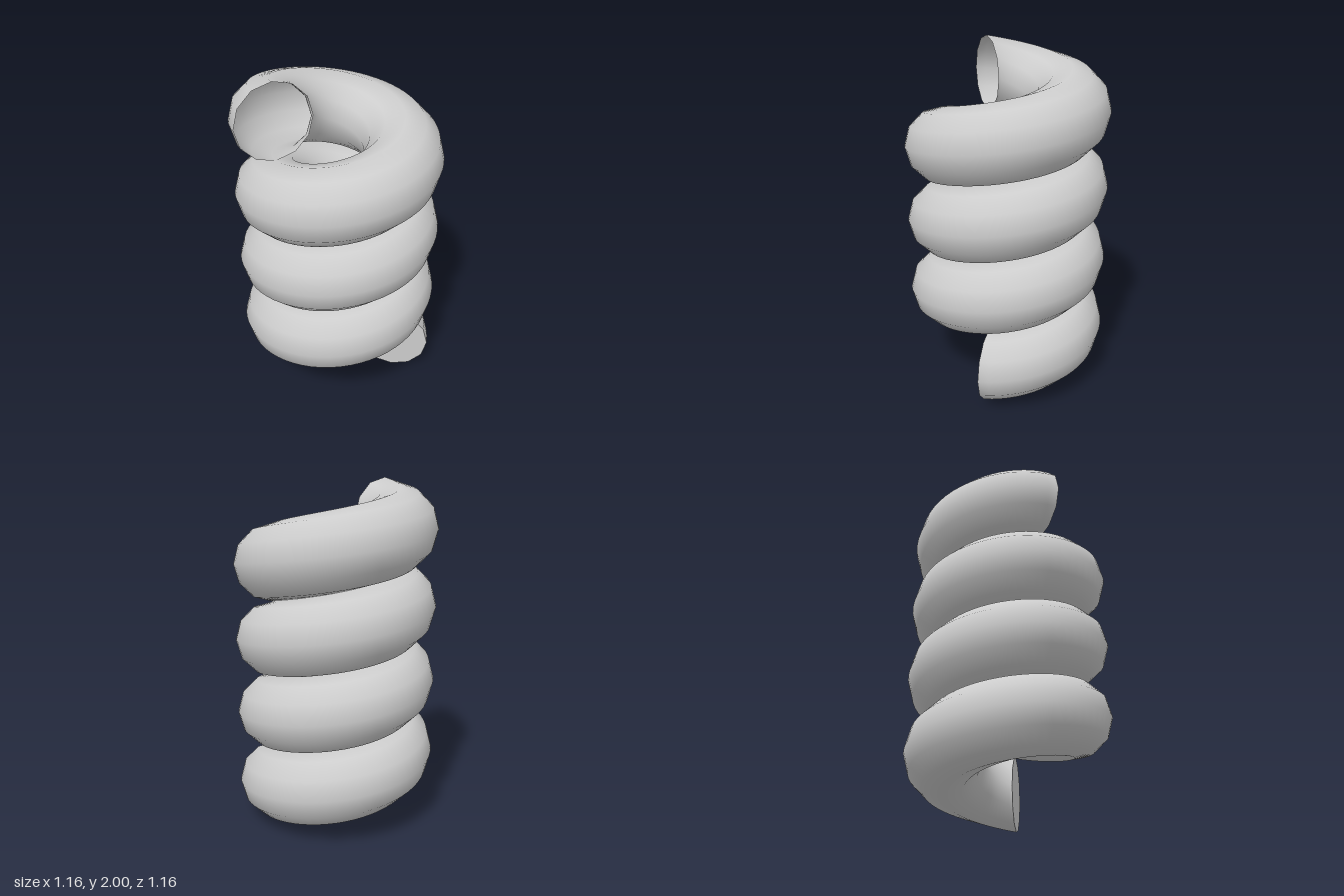
import * as THREE from 'three';

const COIL = 0.36;    // radius of the helix centreline
const TUBE = 0.218;   // radius of the tube
const SIDES = 12;
const TURNS = 3.6;
const PITCH = (2 - 2 * TUBE) / TURNS;
const STEPS = TURNS * 60;

// Upright radial cross-sections swept up the helix, joined in loops
function coilGeometry() {
  const positions = [], index = [];
  for (let i = 0; i <= STEPS; i++) {
    const turn = (i / STEPS) * TURNS;
    const a = turn * Math.PI * 2;
    for (let j = 0; j < SIDES; j++) {
      const b = (j / SIDES) * Math.PI * 2;
      const radius = COIL + TUBE * Math.cos(b);
      positions.push(
        radius * Math.cos(a),
        TUBE + turn * PITCH + TUBE * Math.sin(b),
        -radius * Math.sin(a)
      );
      if (i < STEPS) {
        const p = i * SIDES + j;
        const q = i * SIDES + (j + 1) % SIDES;
        index.push(p, p + SIDES, q, q, p + SIDES, q + SIDES);
      }
    }
  }
  const geometry = new THREE.BufferGeometry();
  geometry.setAttribute('position', new THREE.Float32BufferAttribute(positions, 3));
  geometry.setIndex(index);
  geometry.computeVertexNormals();
  return geometry;
}

export function createModel() {
  const group = new THREE.Group();
  group.name = 'coilSpring';
  const material = new THREE.MeshStandardMaterial({ color: 0xcccccc, side: THREE.DoubleSide });

  // Coiled tube, open at the top end
  const coil = new THREE.Mesh(coilGeometry(), material);
  coil.name = 'coil';
  group.add(coil);

  // Flat cap closing the bottom end
  const cap = new THREE.Mesh(new THREE.CircleGeometry(TUBE, SIDES), material);
  cap.name = 'bottomCap';
  cap.position.set(COIL, TUBE, 0);
  group.add(cap);

  return group;
}
